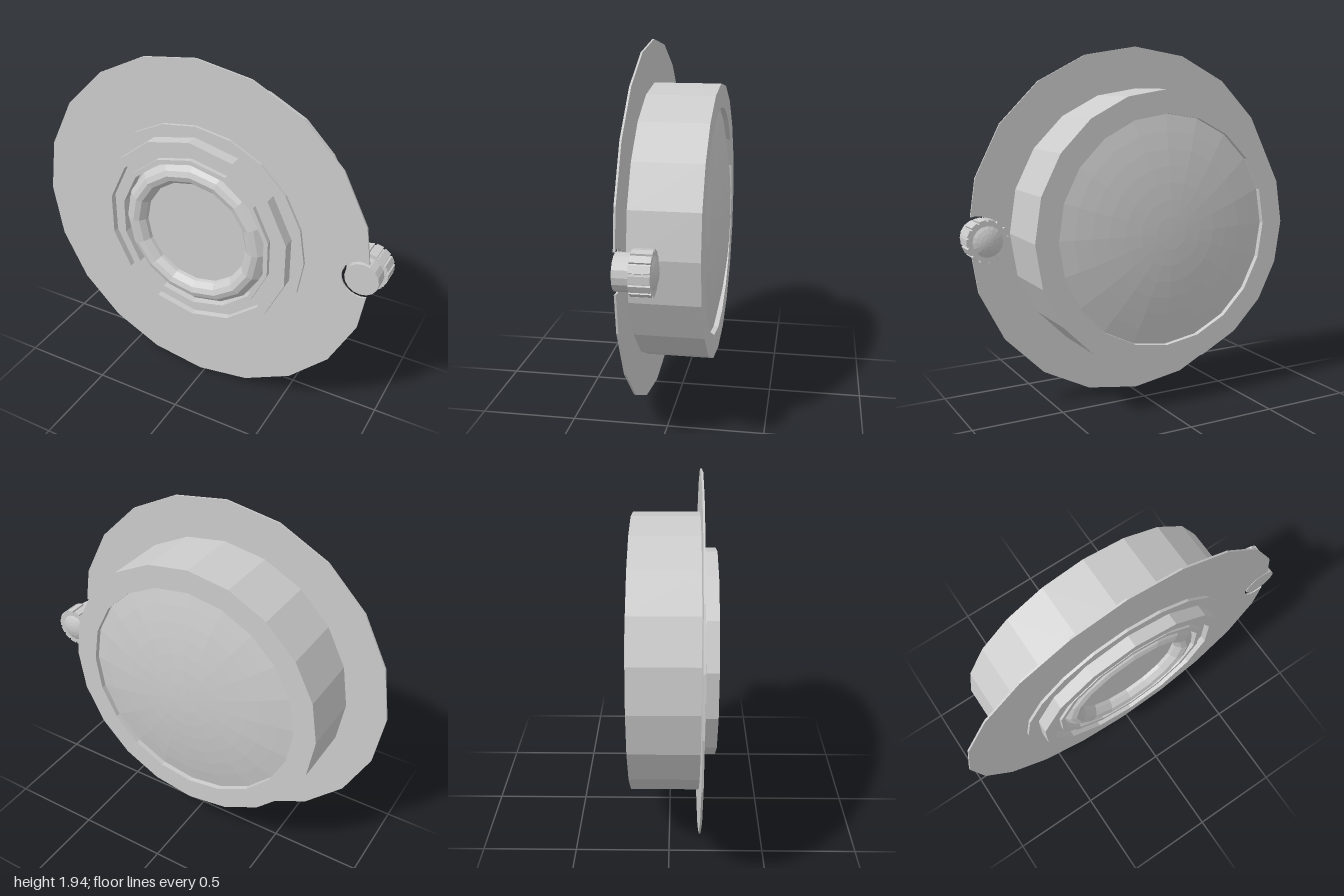
import * as THREE from 'three';

const mat = new THREE.MeshStandardMaterial({ color: 0xcccccc, flatShading: true, side: THREE.DoubleSide });

function add(parent, name, geometry) {
  const mesh = new THREE.Mesh(geometry, mat);
  mesh.name = name;
  parent.add(mesh);
  return mesh;
}

// Revolve [radius, z] points about the z axis
function turned(points, sides) {
  return new THREE.LatheGeometry(points.map(([r, z]) => new THREE.Vector2(r, z)), sides).rotateX(Math.PI / 2);
}

// Shallow spherical cap facing -z, from its apex out to a rim radius
function capProfile(apex, rim, sag, steps) {
  const R = (rim * rim + sag * sag) / (2 * sag);
  const points = [];
  for (let i = 0; i <= steps; i++) {
    const r = rim * i / steps;
    points.push([r, apex + R - Math.sqrt(R * R - r * r)]);
  }
  return points;
}

export function createModel() {
  const model = new THREE.Group();
  model.name = 'roundLensUnit';
  const body = new THREE.Group();
  body.name = 'body';
  body.position.set(-0.03, 0.975, 0);
  model.add(body);

  // Thin twenty-sided flange with a notch for the knob
  const knobX = 0.92, notchR = 0.105;
  const flange = new THREE.Shape();
  for (let k = 1; k < 20; k++) {
    const a = k * Math.PI / 10;
    const p = [0.97 * Math.cos(a), 0.97 * Math.sin(a)];
    if (k === 1) flange.moveTo(...p); else flange.lineTo(...p);
  }
  for (let i = 0; i <= 14; i++) {
    const a = -1.25 - i / 14 * (2 * Math.PI - 2.5);
    flange.lineTo(knobX + notchR * Math.cos(a), notchR * Math.sin(a));
  }
  const plate = new THREE.ExtrudeGeometry(flange, { depth: 0.01, bevelEnabled: false });
  add(body, 'flange', plate.translate(0, 0, 0.155));

  // Rear housing with a recessed opening
  add(body, 'rearHousing', turned([
    [0.62, -0.15], [0.62, -0.2], [0.745, -0.2], [0.745, 0.155],
  ], 20));

  // Domed rear glass
  add(body, 'rearGlass', turned(capProfile(-0.245, 0.62, 0.073, 7), 20));

  // Low step on the flange
  add(body, 'frontStep', turned([[0.62, 0.165], [0.62, 0.18], [0.3, 0.18]], 20));

  // Concentric ridges around the front lens
  add(body, 'frontRidges', turned([
    [0.56, 0.18], [0.56, 0.245], [0.505, 0.245], [0.505, 0.21],
    [0.455, 0.21], [0.455, 0.235], [0.43, 0.235], [0.43, 0.18],
  ], 14));

  // Rounded rim and flat front glass
  add(body, 'lensRim', turned([
    [0.42, 0.18], [0.42, 0.205], [0.39, 0.235], [0.36, 0.245],
    [0.33, 0.235], [0.305, 0.205], [0.3, 0.18],
  ], 16));
  add(body, 'frontGlass', turned([[0.31, 0.185], [0, 0.185]], 16));

  // Knob: plain stem, grooved grip and domed cap
  const knob = new THREE.Group();
  knob.name = 'knob';
  knob.position.x = knobX;
  body.add(knob);
  add(knob, 'knobStem', turned([[0, 0.08], [0.09, 0.08], [0.09, 0.163], [0, 0.163]], 16));
  const grip = new THREE.Shape();
  const teeth = 14;
  for (let i = 0; i < teeth; i++) {
    [[0, 0.11], [0.75, 0.11], [0.8, 0.1], [0.95, 0.1]].forEach(([f, r], j) => {
      const a = (i + f - 0.375) / teeth * Math.PI * 2;
      const p = [r * Math.cos(a), r * Math.sin(a)];
      if (i + j === 0) grip.moveTo(...p); else grip.lineTo(...p);
    });
  }
  add(knob, 'knobGrip', new THREE.ExtrudeGeometry(grip, { depth: 0.1, bevelEnabled: false }).translate(0, 0, -0.015));
  add(knob, 'knobCap', turned(capProfile(-0.037, 0.085, 0.025, 4), 16));

  return model;
}
